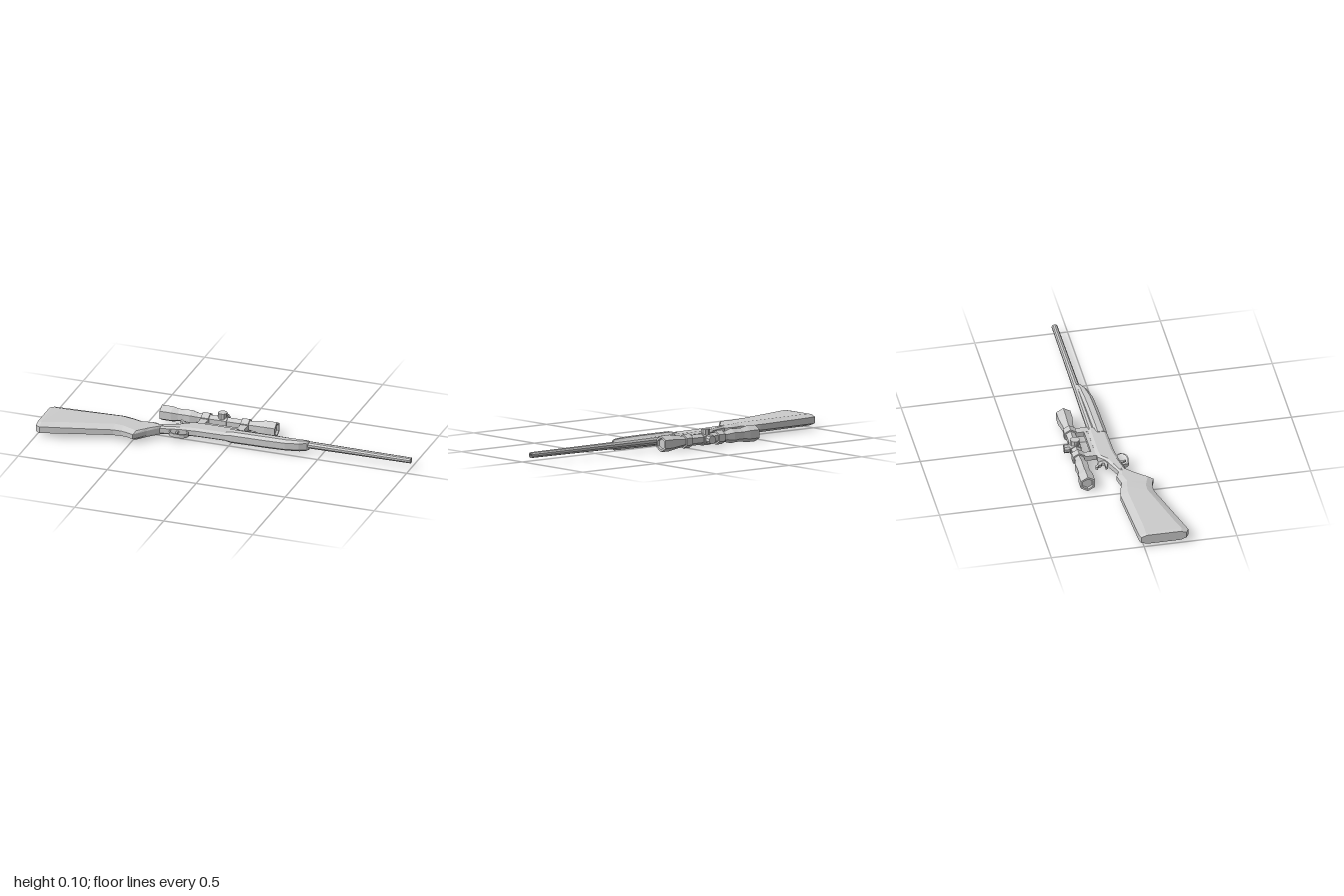
import * as THREE from 'three';

const CY = 0.044; // height of the middle plane; the rifle lies on its side
const mat = new THREE.MeshStandardMaterial({ color: 0xcccccc, flatShading: true });

function add(group, name, geometry, x = 0, y = 0, z = 0) {
  const mesh = new THREE.Mesh(geometry, mat);
  mesh.name = name;
  mesh.position.set(x, y, z);
  group.add(mesh);
  return mesh;
}

// Chamfered eight-sided body through stations [topX, topZ, bottomX, bottomZ, halfThickness, chamferAlong, chamferAcross]
function loft(stations) {
  const pos = [], idx = [], n = 8;
  for (const [tx, tz, bx, bz, h, ca, cy] of stations) {
    const k = ca / Math.hypot(bx - tx, bz - tz);
    const ring = [[0, -(h - cy)], [0, h - cy], [k, h], [1 - k, h], [1, h - cy], [1, -(h - cy)], [1 - k, -h], [k, -h]];
    for (const [t, y] of ring) pos.push(tx + (bx - tx) * t, CY + y, tz + (bz - tz) * t);
  }
  const last = (stations.length - 1) * n;
  for (let i = 0; i < last; i += n) {
    for (let j = 0; j < n; j++) {
      const a = i + j, b = i + (j + 1) % n;
      idx.push(a, b, a + n, b, b + n, a + n);
    }
  }
  for (let j = 1; j < n - 1; j++) idx.push(0, j + 1, j, last, last + j, last + j + 1);
  const g = new THREE.BufferGeometry();
  g.setAttribute('position', new THREE.Float32BufferAttribute(pos, 3));
  g.setIndex(idx);
  g.computeVertexNormals();
  return g;
}

// Turned part along x from [x, radius] pairs
function turned(profile, sides) {
  const g = new THREE.LatheGeometry(profile.map(([x, r]) => new THREE.Vector2(r, x)), sides);
  return g.rotateZ(-Math.PI / 2).rotateX(Math.PI / 2);
}

// Flat plate from an outline of [x, z] points, centred on the middle plane
function plate(points, thickness, hole) {
  const vec = (list) => list.map(([x, z]) => new THREE.Vector2(x, -z));
  const shape = new THREE.Shape(vec(points));
  if (hole) shape.holes.push(new THREE.Path(vec(hole)));
  const g = new THREE.ExtrudeGeometry(shape, { depth: thickness, bevelEnabled: false });
  return g.rotateX(-Math.PI / 2).translate(0, CY - thickness / 2, 0);
}

export function createModel() {
  const model = new THREE.Group();
  model.name = 'scopedRifle';

  // Shoulder stock with pistol grip
  add(model, 'stock', loft([
    [-1.0, -0.015, -1.0, 0.228, 0.027, 0.03, 0.011],
    [-0.985, -0.022, -0.975, 0.243, 0.031, 0.035, 0.013],
    [-0.93, -0.026, -0.9, 0.223, 0.032, 0.04, 0.015],
    [-0.6, -0.045, -0.6, 0.14, 0.033, 0.04, 0.018],
    [-0.54, -0.032, -0.555, 0.137, 0.031, 0.035, 0.017],
    [-0.485, -0.016, -0.52, 0.143, 0.028, 0.03, 0.015],
    [-0.42, -0.029, -0.482, 0.157, 0.026, 0.03, 0.013],
    [-0.385, -0.012, -0.43, 0.09, 0.025, 0.02, 0.012],
    [-0.36, 0.0, -0.375, 0.032, 0.024, 0.01, 0.01],
  ]));

  // Receiver
  add(model, 'receiver', loft([
    [-0.385, -0.008, -0.375, 0.034, 0.022, 0.01, 0.009],
    [-0.32, -0.035, -0.32, 0.024, 0.023, 0.012, 0.009],
    [-0.265, -0.058, -0.265, 0.014, 0.024, 0.014, 0.009],
    [-0.23, -0.092, -0.22, 0.008, 0.024, 0.016, 0.01],
    [-0.2, -0.096, -0.18, 0.004, 0.024, 0.016, 0.01],
    [0.02, -0.096, 0.02, 0.0, 0.024, 0.016, 0.01],
  ]));

  // Fore-end under the barrel
  add(model, 'foreEnd', loft([
    [-0.02, -0.064, -0.02, 0.001, 0.026, 0.016, 0.012],
    [0.01, -0.066, 0.01, 0.001, 0.032, 0.018, 0.014],
    [0.2, -0.068, 0.2, -0.002, 0.032, 0.018, 0.014],
    [0.31, -0.07, 0.31, -0.007, 0.031, 0.017, 0.013],
    [0.385, -0.071, 0.385, -0.024, 0.03, 0.013, 0.012],
    [0.418, -0.072, 0.418, -0.042, 0.028, 0.009, 0.01],
    [0.43, -0.072, 0.43, -0.057, 0.024, 0.004, 0.008],
  ]));

  // Tapered barrel with a recessed bore
  add(model, 'barrel', turned([
    [-0.02, 0], [-0.02, 0.023], [0.2, 0.022], [0.42, 0.0195], [0.7, 0.0175],
    [1, 0.016], [1, 0.009], [0.96, 0.009], [0.96, 0],
  ], 10), 0, CY, -0.07);

  // Trigger guard, trigger and hammer
  const guard = (cx, cz, rx, rz) => Array.from({ length: 14 }, (_, i) => {
    const a = (i / 14) * Math.PI * 2;
    return [cx + rx * Math.sign(Math.cos(a)) * Math.abs(Math.cos(a)) ** 0.75, cz + rz * Math.sin(a)];
  });
  add(model, 'triggerGuard', plate(guard(-0.268, 0.034, 0.054, 0.034), 0.02, guard(-0.268, 0.034, 0.046, 0.026)));
  add(model, 'trigger', plate([
    [-0.29, 0.01], [-0.272, 0.01], [-0.276, 0.03], [-0.268, 0.05], [-0.275, 0.052], [-0.286, 0.032],
  ], 0.01));
  add(model, 'hammer', plate([
    [-0.285, -0.03], [-0.258, -0.04], [-0.262, -0.085], [-0.272, -0.1], [-0.284, -0.097], [-0.296, -0.118],
    [-0.31, -0.12], [-0.313, -0.108], [-0.3, -0.102], [-0.292, -0.084], [-0.278, -0.078], [-0.282, -0.066],
    [-0.318, -0.066], [-0.318, -0.055], [-0.29, -0.052],
  ], 0.016));

  // Telescopic sight
  const scope = new THREE.Group();
  scope.name = 'scope';
  scope.position.set(0, CY, -0.188);
  model.add(scope);
  add(scope, 'scopeTube', turned([
    [-0.432, 0], [-0.432, 0.028], [-0.443, 0.032], [-0.443, 0.044], [-0.38, 0.044], [-0.345, 0.036],
    [-0.31, 0.036], [-0.275, 0.04], [-0.235, 0.029], [0.055, 0.029], [0.13, 0.041], [0.145, 0.044],
    [0.203, 0.044], [0.203, 0.032], [0.192, 0.028], [0.192, 0],
  ], 6));
  add(scope, 'turretCollar', turned([[-0.132, 0], [-0.132, 0.034], [-0.072, 0.034], [-0.072, 0]], 6));
  add(scope, 'topTurret', new THREE.CylinderGeometry(0.023, 0.023, 0.04, 10).rotateX(-Math.PI / 2), -0.102, 0, -0.039);
  add(scope, 'sideTurret', new THREE.CylinderGeometry(0.025, 0.025, 0.038, 10), -0.102, 0.034, 0);

  // Mount rings with posts, joined by a rail
  for (const x of [-0.192, 0.03]) {
    add(scope, 'mountRing', turned([[-0.021, 0], [-0.021, 0.038], [0.021, 0.038], [0.021, 0]], 6), x);
    add(scope, 'mountPost', new THREE.BoxGeometry(0.042, 0.028, 0.075), x, 0, 0.062);
  }
  add(scope, 'mountRail', new THREE.BoxGeometry(0.264, 0.026, 0.024), -0.081, 0, 0.084);

  return model;
}
